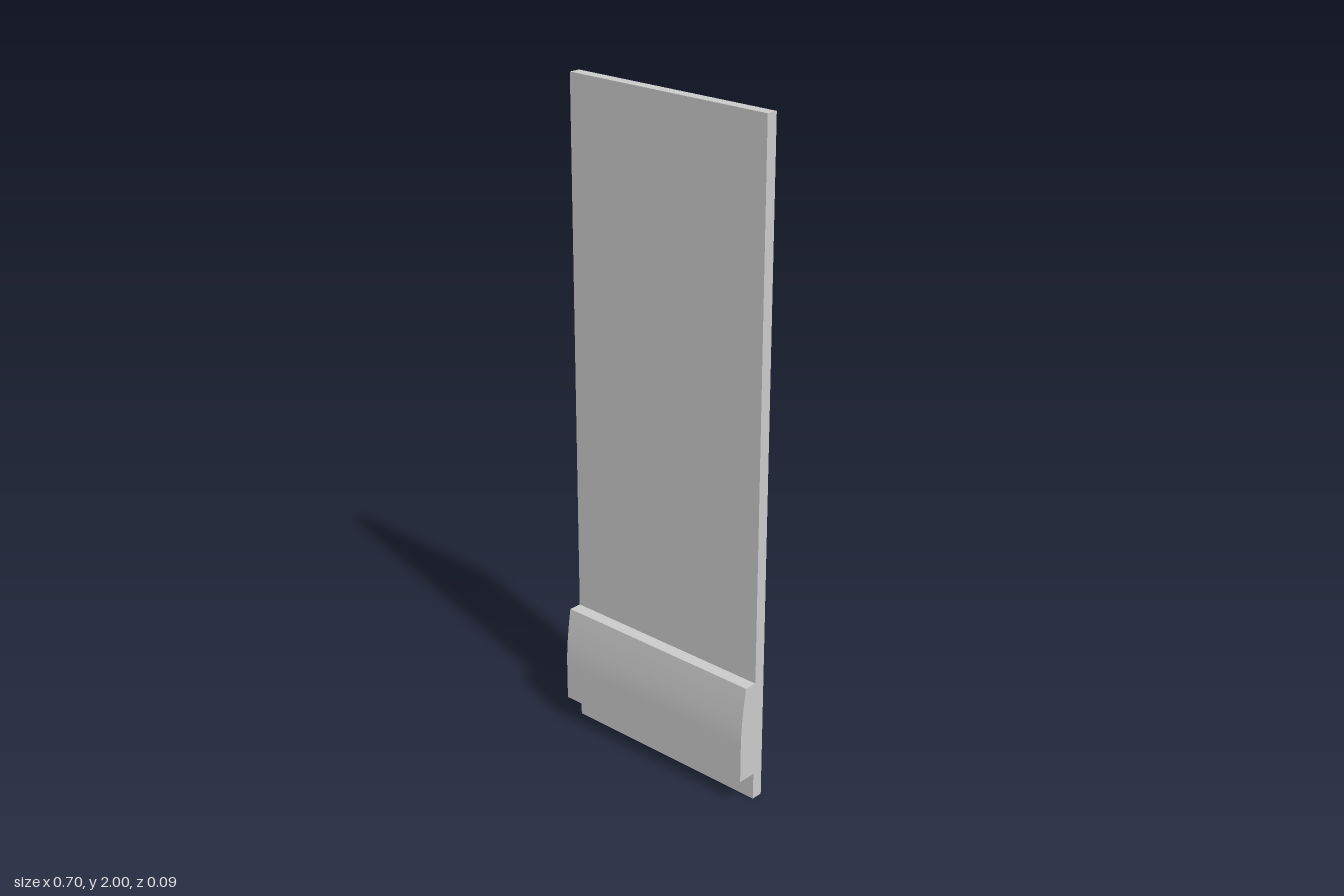
import * as THREE from 'three';
import { toCreasedNormals } from 'three/addons/utils/BufferGeometryUtils.js';

const WIDTH = 0.696;
const BACK = -0.047;   // rear face of the panel
const FACE = -0.012;   // front face of the panel

export function createModel() {
  const group = new THREE.Group();
  const material = new THREE.MeshStandardMaterial({ color: 0xcccccc });

  // Tall flat panel
  const panel = new THREE.Mesh(new THREE.BoxGeometry(WIDTH, 2, FACE - BACK), material);
  panel.name = 'panel';
  panel.position.set(0, 1, (FACE + BACK) / 2);
  group.add(panel);

  // Rail profile (z, y): straight lower front that curves back towards the top
  const profile = new THREE.Shape();
  profile.moveTo(FACE, 0.083);
  profile.lineTo(0.046, 0.083);
  profile.lineTo(0.046, 0.2);
  profile.quadraticCurveTo(0.046, 0.27, 0.028, 0.38);
  profile.lineTo(FACE, 0.38);
  profile.closePath();

  // Rail across the full width near the foot of the panel
  const railGeometry = new THREE.ExtrudeGeometry(profile, {
    depth: WIDTH, bevelEnabled: false, curveSegments: 12,
  });
  railGeometry.rotateY(-Math.PI / 2).translate(WIDTH / 2, 0, 0);
  const rail = new THREE.Mesh(toCreasedNormals(railGeometry, Math.PI / 6), material);
  rail.name = 'lowerRail';
  group.add(rail);

  return group;
}
